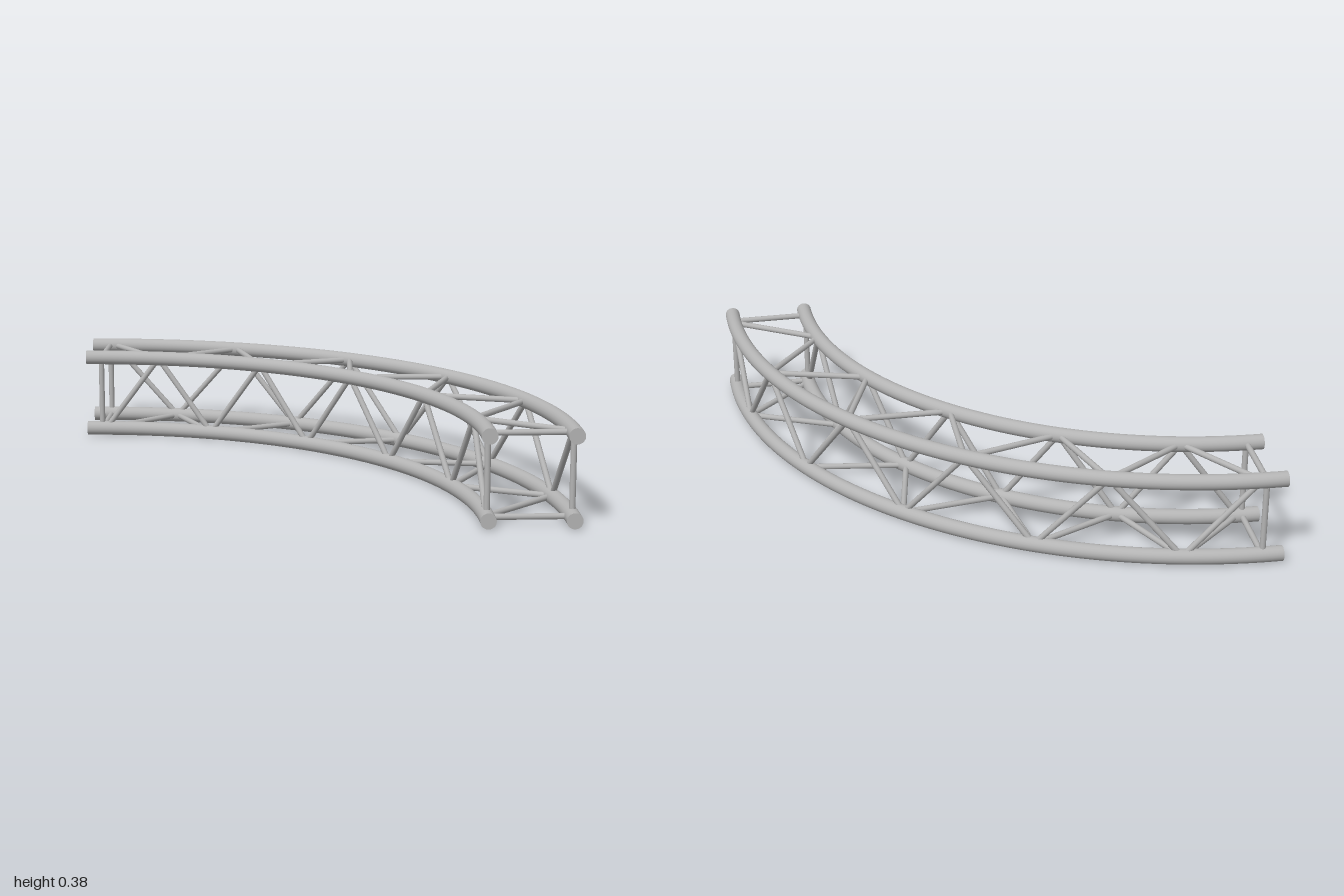
import * as THREE from 'three';
import { mergeGeometries } from 'three/addons/utils/BufferGeometryUtils.js';

const OUTER = 1.969, INNER = 1.648; // chord radii around the corner (-1, 1)
const TOP = 0.354, BOTTOM = 0.032;  // chord heights
const CHORD = 0.031, BRACE = 0.012; // tube radii
const BAYS = 10;

export function createModel() {
  const group = new THREE.Group();
  const aluminium = new THREE.MeshStandardMaterial({ color: 0xb4b4b4 });
  aluminium.name = 'aluminium';

  const add = (name, geometry) => {
    const mesh = new THREE.Mesh(geometry, aluminium);
    mesh.name = name;
    group.add(mesh);
  };

  // Point on a chord, by angle in degrees from the back end
  const at = (radius, y, degrees) => {
    const a = THREE.MathUtils.degToRad(degrees);
    return new THREE.Vector3(-1 + radius * Math.sin(a), y, 1 - radius * Math.cos(a));
  };

  // Straight round bar between two points
  const bar = (a, b) => {
    const dir = b.clone().sub(a);
    const geometry = new THREE.CylinderGeometry(BRACE, BRACE, dir.length(), 12, 1, true);
    geometry.applyQuaternion(new THREE.Quaternion().setFromUnitVectors(
      new THREE.Vector3(0, 1, 0), dir.normalize()));
    const mid = a.clone().add(b).multiplyScalar(0.5);
    return geometry.translate(mid.x, mid.y, mid.z);
  };

  // Four curved main tubes with closed ends
  const chord = (radius, y) => mergeGeometries([
    new THREE.TorusGeometry(radius, CHORD, 20, 64, Math.PI / 2).rotateX(-Math.PI / 2).translate(-1, y, 1),
    new THREE.CircleGeometry(CHORD, 20).translate(-1 + radius, y, 1),
    new THREE.CircleGeometry(CHORD, 20).rotateY(-Math.PI / 2).translate(-1, y, 1 - radius),
  ]);
  add('outerTopChord', chord(OUTER, TOP));
  add('outerBottomChord', chord(OUTER, BOTTOM));
  add('innerTopChord', chord(INNER, TOP));
  add('innerBottomChord', chord(INNER, BOTTOM));

  // Zigzag bracing on each face: even nodes on the first chord, odd on the second
  const faces = {
    outer: [[OUTER, TOP], [OUTER, BOTTOM]],
    inner: [[INNER, BOTTOM], [INNER, TOP]],
    top: [[OUTER, TOP], [INNER, TOP]],
    bottom: [[INNER, BOTTOM], [OUTER, BOTTOM]],
  };
  for (const [name, ends] of Object.entries(faces)) {
    const node = (i) => at(...ends[i % 2], 2.9 + i * (84.2 / BAYS));
    const bars = [];
    for (let i = 0; i < BAYS; i++) bars.push(bar(node(i), node(i + 1)));
    add(name + 'DiagonalBraces', mergeGeometries(bars));

    // Square strut at each end of the face
    add(name + 'EndStruts', mergeGeometries([2.3, 87.7].map(
      (angle) => bar(at(...ends[0], angle), at(...ends[1], angle)))));
  }
  return group;
}
